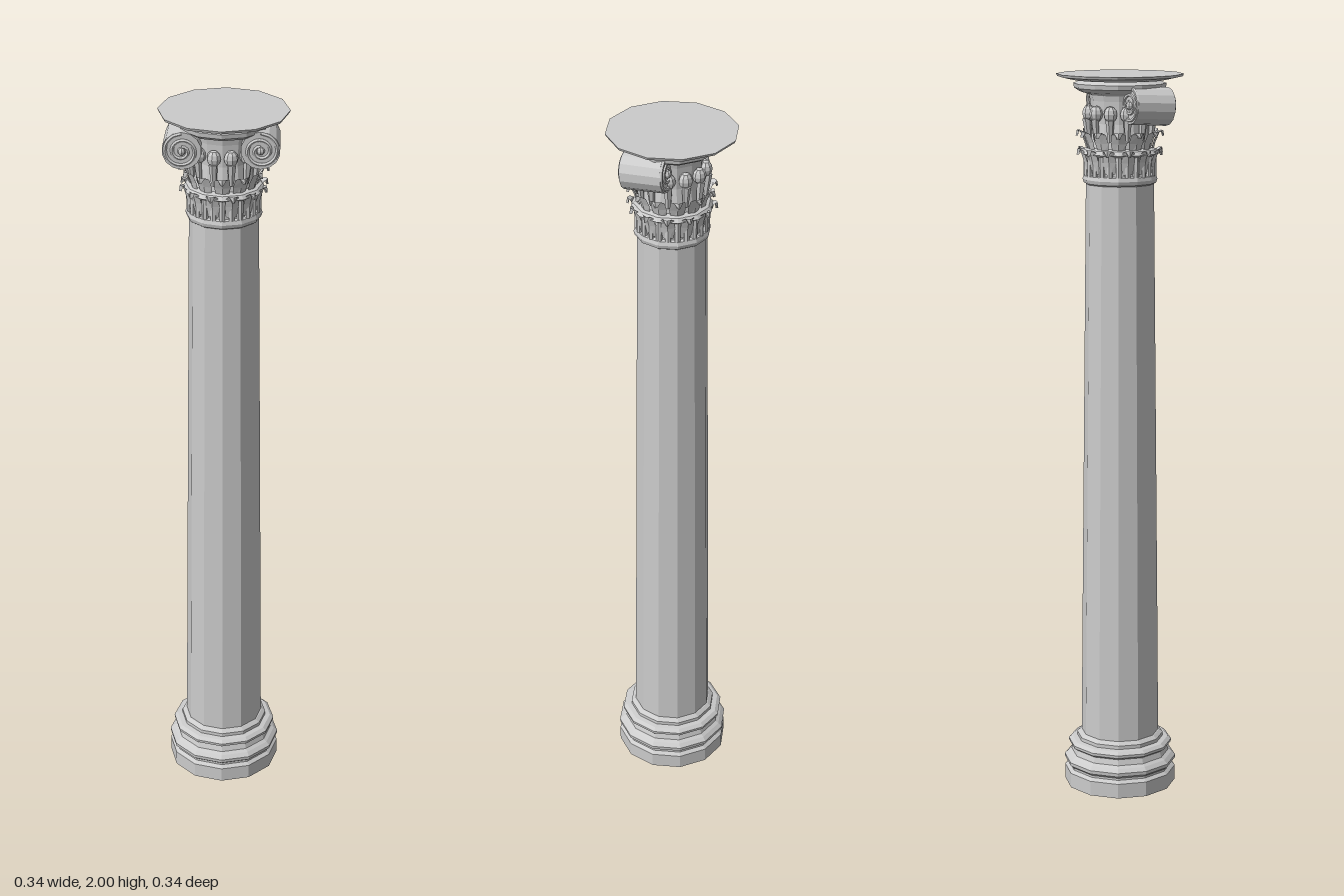
import * as THREE from 'three';

const SIDES = 12;

export function createModel() {
  const column = new THREE.Group();
  column.name = 'column';
  const stone = new THREE.MeshStandardMaterial({ color: 0xcccccc, flatShading: true });
  const thin = new THREE.MeshStandardMaterial({ color: 0xcccccc, flatShading: true, side: THREE.DoubleSide });

  const add = (name, geometry, parent = column, material = stone) => {
    const mesh = new THREE.Mesh(geometry, material);
    mesh.name = name;
    parent.add(mesh);
    return mesh;
  };
  // Turned part from [radius, height] pairs, bottom to top
  const turned = (name, profile) => add(name,
    new THREE.LatheGeometry(profile.map(([r, y]) => new THREE.Vector2(r, y)), SIDES));

  // Repeat a part around the column axis
  const ring = (name, count, build, offset = 0) => {
    const group = new THREE.Group();
    group.name = name + 'Ring';
    for (let i = 0; i < count; i++) {
      const spoke = new THREE.Group();
      spoke.rotation.y = (i + offset) / count * Math.PI * 2;
      build(spoke);
      group.add(spoke);
    }
    column.add(group);
  };

  // Base mouldings
  turned('base', [
    [0, 0], [0.157, 0], [0.157, 0.042], [0.147, 0.05], [0.147, 0.056], [0.157, 0.064],
    [0.158, 0.074], [0.148, 0.084], [0.138, 0.09], [0.133, 0.106], [0.145, 0.114],
    [0.146, 0.122], [0.136, 0.13], [0.122, 0.132], [0.122, 0.142], [0.112, 0.15], [0.1, 0.152],
  ]);

  // Tapering shaft
  turned('shaft', [[0.109, 0.14], [0.106, 0.45], [0.101, 0.9], [0.096, 1.35], [0.092, 1.712]]);

  // Necking ring and bell of the capital
  turned('neckRing', [[0.09, 1.705], [0.098, 1.71], [0.101, 1.72], [0.098, 1.73], [0.085, 1.733]]);
  turned('bell', [[0.088, 1.73], [0.088, 1.78], [0.1, 1.785], [0.108, 1.79], [0.1, 1.8],
    [0.084, 1.805], [0.076, 1.87], [0.08, 1.93], [0.085, 1.955]]);

  // Flutes below the leaves
  ring('flute', 24, (spoke) => {
    const flute = add('flute', new THREE.CylinderGeometry(0.009, 0.008, 0.055, 6), spoke);
    flute.position.set(0, 1.757, 0.09);
  });

  // Curling leaf: width and outward distance change with height
  const leafGeometry = (height, rows, width) => {
    const g = new THREE.PlaneGeometry(1, 1, 2, rows.length - 1);
    const p = g.attributes.position;
    for (let i = 0; i < p.count; i++) {
      const row = rows.length - 1 - Math.floor(i / 3);
      const [w, y, z] = rows[row];
      const side = p.getX(i) * 2;
      p.setXYZ(i, side * w * width, y * height, z - Math.abs(side) * 0.006);
    }
    g.computeVertexNormals();
    return g;
  };
  const lowLeaf = leafGeometry(0.065, [[0.8, 0, 0.094], [1, 0.5, 0.1], [0.9, 0.9, 0.108], [0.6, 1, 0.117], [0.2, 0.75, 0.119]], 0.018);
  const highLeaf = leafGeometry(0.06, [[0.7, 0, 0.088], [1, 0.5, 0.096], [0.9, 0.9, 0.106], [0.6, 1, 0.116], [0.2, 0.75, 0.119]], 0.021);
  ring('lowerLeaf', 12, (spoke) => { add('lowerLeaf', lowLeaf, spoke, thin).position.y = 1.738; }, 0.5);
  ring('upperLeaf', 12, (spoke) => { add('upperLeaf', highLeaf, spoke, thin).position.y = 1.79; });

  // Stems and buds above the leaves
  ring('bud', 12, (spoke) => {
    const stem = add('stem', new THREE.CylinderGeometry(0.012, 0.007, 0.06, 6), spoke);
    stem.position.set(0, 1.853, 0.088);
    stem.rotation.x = 0.1;
    const bud = add('bud', new THREE.SphereGeometry(0.019, 8, 6), spoke);
    bud.scale.set(1, 1.15, 0.9);
    bud.position.set(0, 1.897, 0.086);
  }, 0.5);

  // Scroll rolls with a spiral on each end
  const spiral = new THREE.CatmullRomCurve3(Array.from({ length: 25 }, (_, i) => {
    const a = i / 24 * Math.PI * 4, r = 0.047 - i / 24 * 0.036;
    return new THREE.Vector3(r * Math.sin(a), r * Math.cos(a), 0);
  }));
  for (const side of [1, -1]) {
    const scroll = new THREE.Group();
    scroll.name = side > 0 ? 'leftScroll' : 'rightScroll';
    scroll.position.set(side > 0 ? 0.097 : -0.104, side > 0 ? 1.923 : 1.919, 0.03);
    scroll.rotation.x = 0.05;
    add('roll', new THREE.CylinderGeometry(0.051, 0.049, 0.11, 14), scroll).rotation.x = Math.PI / 2;
    for (const end of [1, -1]) {
      const rim = add('spiral', new THREE.TubeGeometry(spiral, 48, 0.005, 5), scroll);
      rim.scale.x = side;
      rim.position.z = end * 0.055;
      if (side < 0) rim.material = thin;
      const eye = add('eye', new THREE.SphereGeometry(0.011, 8, 6), scroll);
      eye.position.z = end * 0.055;
    }
    column.add(scroll);
  }

  // Dished cushion and wide top slab
  turned('cushion', [[0.07, 1.93], [0.085, 1.947], [0.108, 1.953], [0.123, 1.963], [0.125, 1.975], [0.112, 1.98], [0.1, 1.99]]);
  turned('topSlab', [[0, 1.984], [0.125, 1.984], [0.168, 1.993], [0.171, 2], [0, 2]]);

  return column;
}
